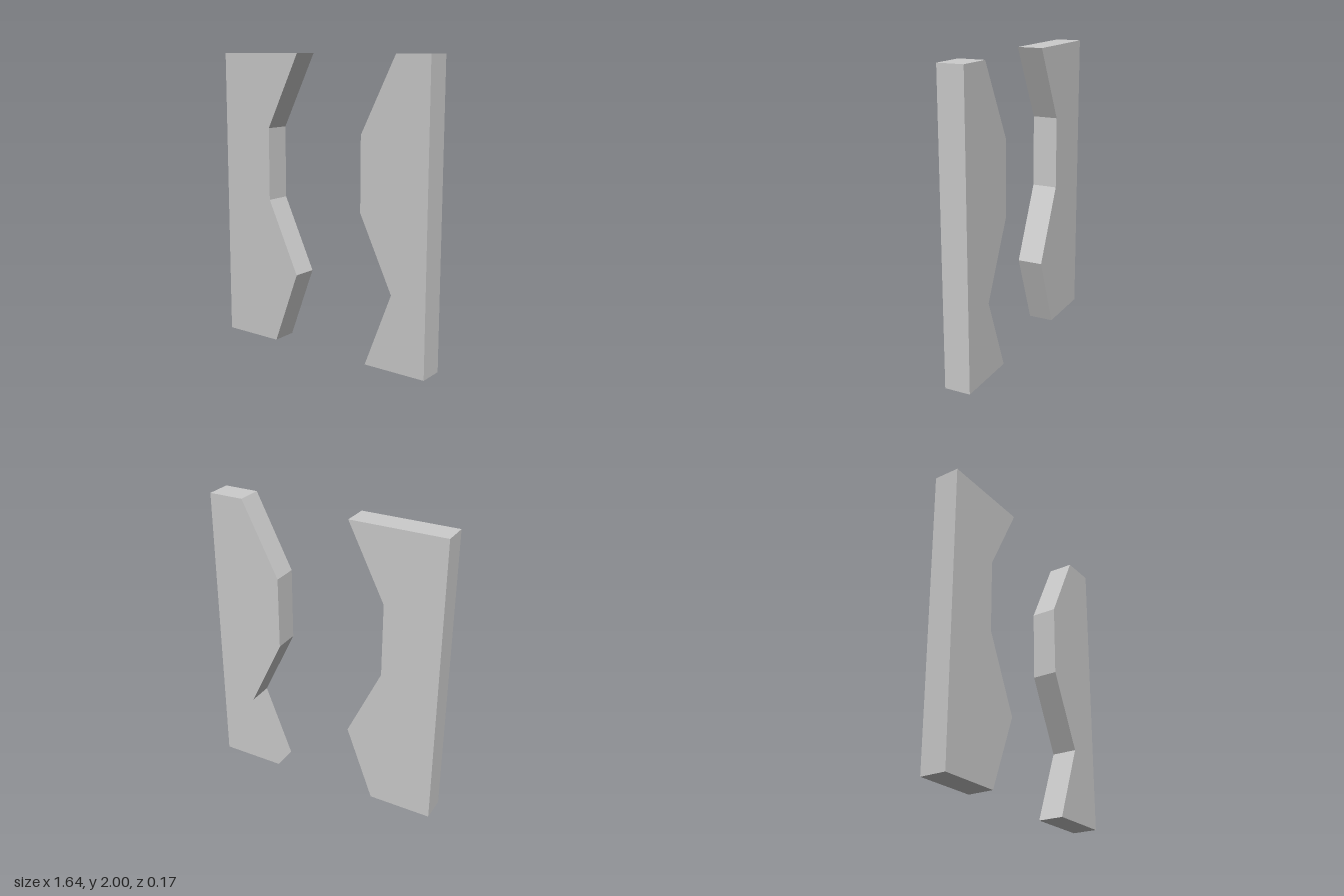
import * as THREE from 'three';

const DEPTH = 0.175;
const HALF_WIDTH = 0.82;

// Inner edge of each panel, bottom to top: [x, y]
const RIGHT_EDGE = [[-0.385, 0], [-0.195, 0.505], [-0.43, 1.005], [-0.43, 1.5], [-0.18, 2]];
const LEFT_EDGE = [[0.375, 0], [0.57, 0.505], [0.33, 1.005], [0.33, 1.5], [0.58, 2]];

// Flat slab between a straight outer side and a zigzag inner edge
function makePanel(name, outerX, innerEdge, material) {
  const outline = [[outerX, 0], ...innerEdge, [outerX, 2]];
  const shape = new THREE.Shape(outline.map(([x, y]) => new THREE.Vector2(x, y)));
  const geometry = new THREE.ExtrudeGeometry(shape, { depth: DEPTH, bevelEnabled: false });
  geometry.translate(0, 0, -DEPTH / 2);
  const panel = new THREE.Mesh(geometry, material);
  panel.name = name;
  return panel;
}

export function createModel() {
  const model = new THREE.Group();
  model.name = 'splitPanels';
  const material = new THREE.MeshStandardMaterial({ color: 0xcccccc, flatShading: true });
  model.add(
    makePanel('rightPanel', -HALF_WIDTH, RIGHT_EDGE, material),
    makePanel('leftPanel', HALF_WIDTH, LEFT_EDGE, material),
  );
  return model;
}
